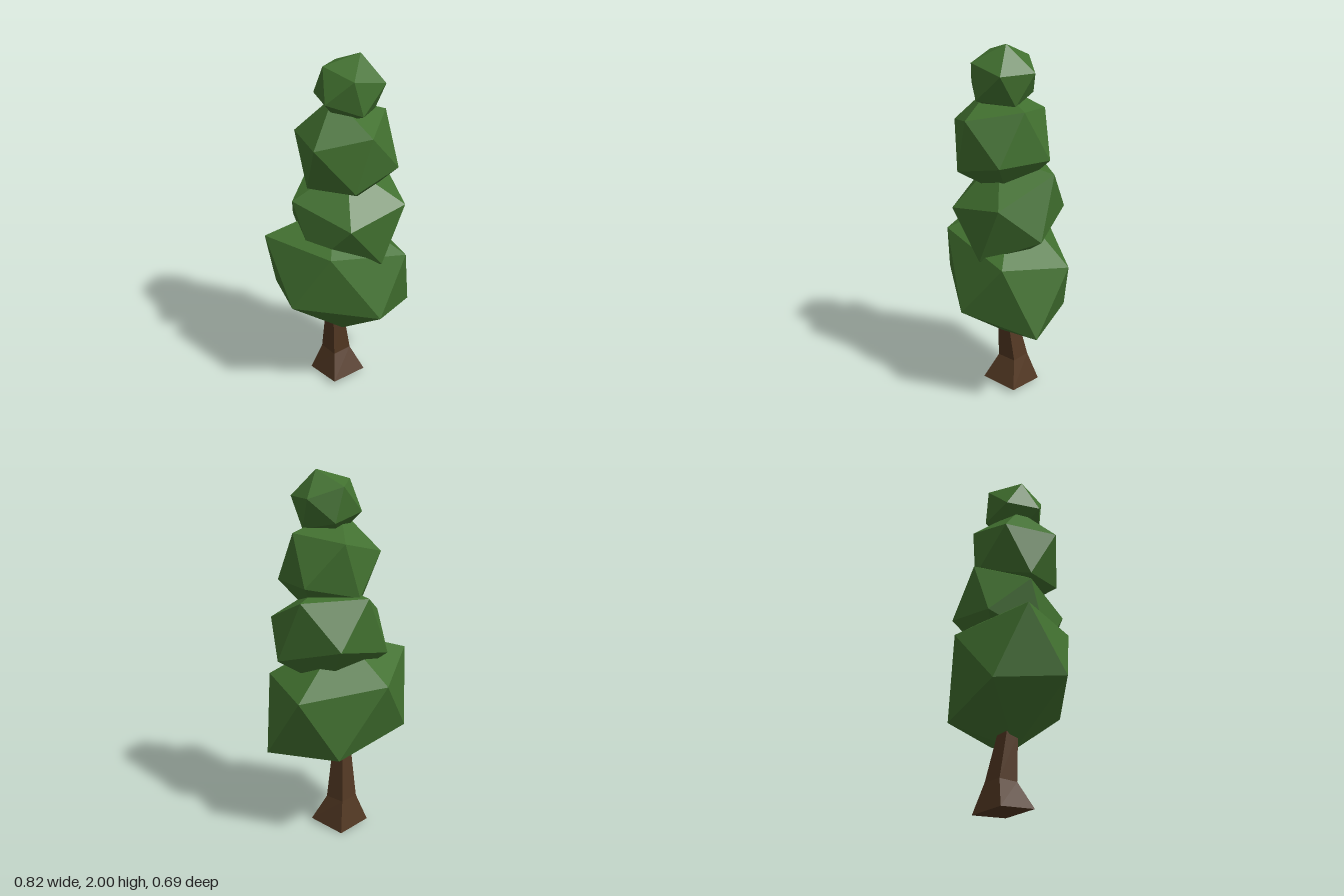
import * as THREE from 'three';
import { ConvexGeometry } from 'three/addons/geometries/ConvexGeometry.js';

const leafMaterial = new THREE.MeshStandardMaterial({ color: 0x41702f, flatShading: true });
const barkMaterial = new THREE.MeshStandardMaterial({ color: 0x513722, flatShading: true });

// Foliage clumps, lowest first: each is a stretched icosahedron given by its
// centre and six half-diagonals, mirrored through the centre.
const CLUMPS = [
  { name: 'lowerFoliage', centre: [0, 0.74, 0], axes: [
    [0.41, -0.26, 0.04], [0.01, -0.39, 0.035], [0.125, -0.15, 0.345],
    [0.14, -0.24, -0.295], [0.33, 0.08, -0.2], [0.32, 0.14, 0.2]] },
  { name: 'middleFoliage', centre: [0.045, 1.115, 0.01], axes: [
    [0.315, -0.105, -0.02], [-0.08, 0.02, 0.3], [0.115, -0.235, 0.24],
    [0.235, 0.225, -0.14], [0.255, 0.085, 0.2], [0.02, -0.29, -0.045]] },
  { name: 'upperFoliage', centre: [0.025, 1.49, 0.045], axes: [
    [0.22, 0.19, -0.015], [0.24, -0.08, 0.14], [0.225, -0.08, -0.165],
    [0.06, 0.14, 0.24], [-0.03, -0.15, 0.245], [-0.07, 0.295, 0]] },
  { name: 'topFoliage', centre: [0.04, 1.82, 0.045], axes: [
    [0.055, 0.18, 0.01], [-0.14, 0.125, 0], [0.16, 0.04, -0.1],
    [0.16, 0.04, 0.1], [-0.03, 0.085, 0.165], [-0.02, 0.1, -0.165]] },
];

function createClump({ name, centre, axes }) {
  const points = axes.flatMap((a) => {
    const v = new THREE.Vector3(...a);
    return [v, v.clone().negate()];
  });
  const mesh = new THREE.Mesh(new ConvexGeometry(points), leafMaterial);
  mesh.name = name;
  mesh.position.set(...centre);
  return mesh;
}

// Four-sided trunk: flared tilted foot, knee, and a slim stem into the foliage
function createTrunk() {
  const rings = [
    { x: 0, y: 0.014, z: -0.03, radius: 0.159, tilt: 0.09 },
    { x: -0.005, y: 0.165, z: -0.045, radius: 0.083, tilt: 0 },
    { x: -0.022, y: 0.42, z: -0.015, radius: 0.054, tilt: 0 },
    { x: -0.03, y: 0.6, z: 0, radius: 0.04, tilt: 0 },
  ];
  const geometry = new THREE.CylinderGeometry(1, 1, 3, 4, 3, false, -0.42);
  const p = geometry.attributes.position;
  for (let i = 0; i < p.count; i++) {
    const r = rings[Math.round(p.getY(i) + 1.5)];
    const dx = p.getX(i) * r.radius;
    const dz = p.getZ(i) * r.radius;
    p.setXYZ(i, r.x + dx, r.y + dz * r.tilt, r.z + dz);
  }
  const flat = geometry.toNonIndexed();
  flat.computeVertexNormals();
  const mesh = new THREE.Mesh(flat, barkMaterial);
  mesh.name = 'trunk';
  return mesh;
}

export function createModel() {
  const tree = new THREE.Group();
  tree.name = 'tree';
  tree.add(createTrunk(), ...CLUMPS.map(createClump));
  return tree;
}
